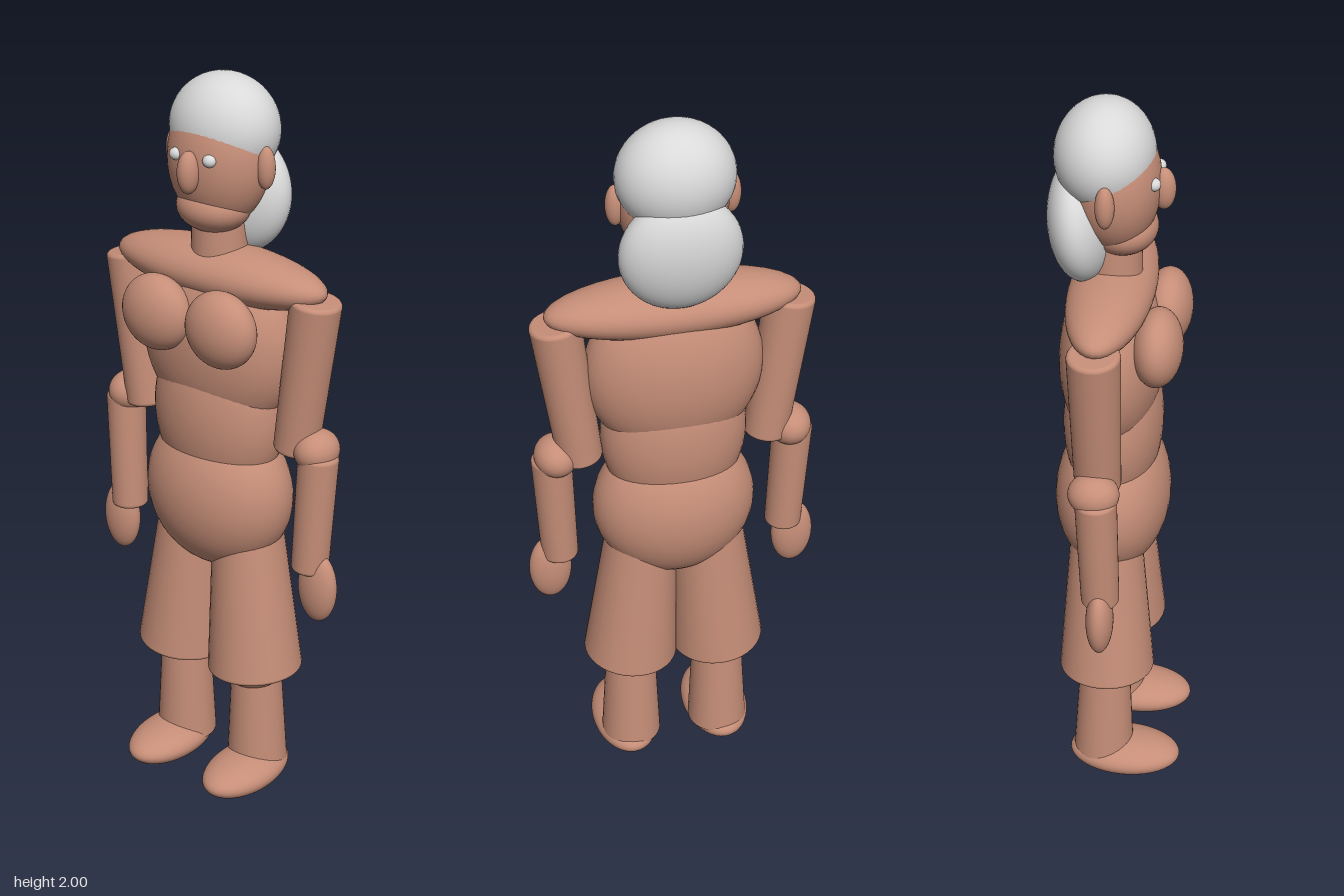
import * as THREE from 'three';

export function createModel() {
  const model = new THREE.Group();
  model.name = 'figure';
  const mat = (name, color) => {
    const m = new THREE.MeshStandardMaterial({ color });
    m.name = name;
    return m;
  };
  const skin = mat('skin', 0xc68e78);
  const grey = mat('light grey', 0xd9d9d9);

  const ball = new THREE.SphereGeometry(1, 40, 28);

  // Ellipsoid from a centre and three radii
  function ellipsoid(name, c, r, material = skin) {
    const m = new THREE.Mesh(ball, material);
    m.name = name;
    m.position.set(...c);
    m.scale.set(...r);
    model.add(m);
    return m;
  }

  // Tapered limb with softly rounded rims, running from point a down to point b
  function limb(name, a, b, ra, rb, bevel = 0.012) {
    const top = new THREE.Vector3(...a), bottom = new THREE.Vector3(...b);
    const len = top.distanceTo(bottom), h = len / 2;
    const pts = [[0, -h]];
    for (let i = 0; i <= 4; i++) {
      const t = (i / 4) * Math.PI / 2;
      pts.push([rb - bevel + bevel * Math.sin(t), -h + bevel - bevel * Math.cos(t)]);
    }
    for (let i = 0; i <= 4; i++) {
      const t = (i / 4) * Math.PI / 2;
      pts.push([ra - bevel + bevel * Math.cos(t), h - bevel + bevel * Math.sin(t)]);
    }
    pts.push([0, h]);
    const geo = new THREE.LatheGeometry(pts.map(p => new THREE.Vector2(...p)), 36);
    const m = new THREE.Mesh(geo, skin);
    m.name = name;
    m.position.copy(top).add(bottom).multiplyScalar(0.5);
    m.quaternion.setFromUnitVectors(new THREE.Vector3(0, 1, 0), top.sub(bottom).normalize());
    model.add(m);
    return m;
  }

  // Head and hair
  ellipsoid('head', [0, 1.785, -0.015], [0.14, 0.175, 0.115]);
  ellipsoid('jaw', [0, 1.667, 0.005], [0.1, 0.067, 0.088]);
  ellipsoid('nose', [0, 1.775, 0.105], [0.028, 0.055, 0.03]);
  ellipsoid('hairCap', [0, 1.86, -0.04], [0.15, 0.14, 0.126], grey);
  ellipsoid('backHair', [0, 1.68, -0.1], [0.156, 0.16, 0.083], grey).rotation.x = -0.1;
  limb('neck', [0, 1.65, -0.02], [0, 1.5, -0.02], 0.072, 0.075, 0.004);

  // Torso
  ellipsoid('shoulders', [0, 1.489, -0.022], [0.332, 0.076, 0.11]);
  ellipsoid('chest', [0, 1.3, -0.023], [0.236, 0.25, 0.135]);
  ellipsoid('waist', [0, 1.1, -0.02], [0.195, 0.25, 0.131]);
  ellipsoid('hips', [0, 0.87, -0.021], [0.22, 0.22, 0.154]);

  // Mirrored parts
  for (const [s, side] of [[1, 'left'], [-1, 'right']]) {
    ellipsoid(side + 'Eye', [s * 0.053, 1.81, 0.088], [0.018, 0.016, 0.016], grey);
    ellipsoid(side + 'Ear', [s * 0.145, 1.785, -0.02], [0.025, 0.055, 0.024]);
    ellipsoid(side + 'Breast', [s * 0.105, 1.385, 0.107], [0.105, 0.102, 0.065]);

    // Arm
    limb(side + 'UpperArm', [s * 0.305, 1.475, -0.024], [s * 0.25, 1.05, -0.024], 0.067, 0.06);
    ellipsoid(side + 'Elbow', [s * 0.315, 1.067, -0.025], [0.058, 0.056, 0.066]);
    limb(side + 'Forearm', [s * 0.327, 1.06, -0.018], [s * 0.312, 0.725, -0.01], 0.054, 0.05);
    ellipsoid(side + 'Hand', [s * 0.34, 0.683, -0.008], [0.058, 0.1, 0.036]);

    // Leg
    limb(side + 'Thigh', [s * 0.09, 0.8, -0.028], [s * 0.125, 0.355, -0.022], 0.095, 0.13);
    ellipsoid(side + 'Knee', [s * 0.122, 0.37, -0.022], [0.09, 0.072, 0.092]);
    limb(side + 'Shin', [s * 0.125, 0.4, -0.027], [s * 0.128, 0.05, -0.032], 0.067, 0.084);
    ellipsoid(side + 'Foot', [s * 0.135, 0.053, 0.03], [0.093, 0.053, 0.156]);
  }
  return model;
}
